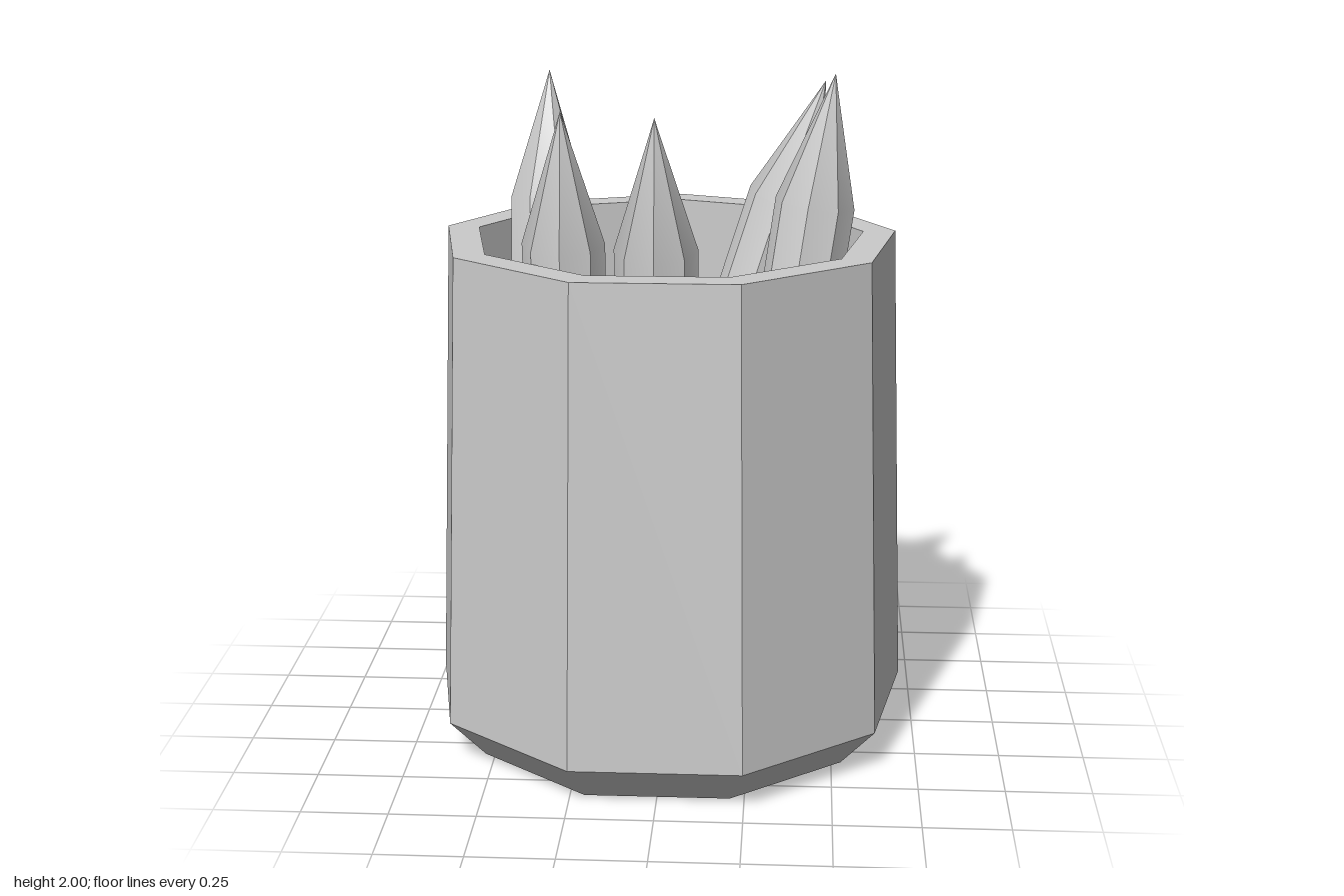
import * as THREE from 'three';
import { toCreasedNormals } from 'three/addons/utils/BufferGeometryUtils.js';

const UP = new THREE.Vector3(0, 1, 0);
const FLOOR = 0.1;

// Turns a [radius, height] profile into a faceted solid of revolution.
function turned(profile, sides, start = 0) {
  const points = profile.map(([r, y]) => new THREE.Vector2(r, y));
  return toCreasedNormals(new THREE.LatheGeometry(points, sides, start), 0.55);
}

// Eight-sided sharpened pencil standing at the foot and leaning to the tip.
function makePencil(material, foot, tip, spinDegrees) {
  const axis = tip.clone().sub(foot);
  const length = axis.length();
  const geometry = turned([
    [0, 0],
    [0.117, 0],
    [0.117, length - 0.38], // shoulder
    [0.018, length - 0.06], // start of the lead
    [0, length],
  ], 8, THREE.MathUtils.degToRad(spinDegrees));
  const pencil = new THREE.Mesh(geometry, material);
  pencil.position.copy(foot);
  pencil.quaternion.setFromUnitVectors(UP, axis.normalize());
  return pencil;
}

export function createModel() {
  const model = new THREE.Group();
  model.name = 'pencilCup';
  const material = new THREE.MeshStandardMaterial({ color: 0xcccccc });

  // Nine-sided cup: chamfered base, tapering wall, flat rim, hollow inside
  const cup = new THREE.Mesh(turned([
    [0, 0],
    [0.61, 0],
    [0.722, 0.12],
    [0.676, 1.52],
    [0.58, 1.52],
    [0.58, FLOOR],
    [0, FLOOR],
  ], 9, Math.PI), material);
  cup.name = 'cup';
  cup.position.z = 0.02;
  model.add(cup);

  // Pencils: foot x, foot z, tip x, y, z, spin in degrees
  const pencils = {
    frontPencil: [-0.01, 0.165, -0.01, 1.94, 0.505, 0],
    frontRightPencil: [-0.275, 0.155, -0.275, 1.94, 0.4, 0],
    rightPencil: [-0.375, 0.05, -0.375, 1.965, -0.275, 22.5],
    backPencil: [-0.125, -0.36, 0.455, 1.94, -0.265, -10],
    leftPencil: [0.21, 0.027, 0.48, 2, 0.027, -10],
  };
  for (const [name, [fx, fz, tx, ty, tz, spin]] of Object.entries(pencils)) {
    const foot = new THREE.Vector3(fx, FLOOR, fz);
    const pencil = makePencil(material, foot, new THREE.Vector3(tx, ty, tz), spin);
    pencil.name = name;
    model.add(pencil);
  }
  return model;
}
